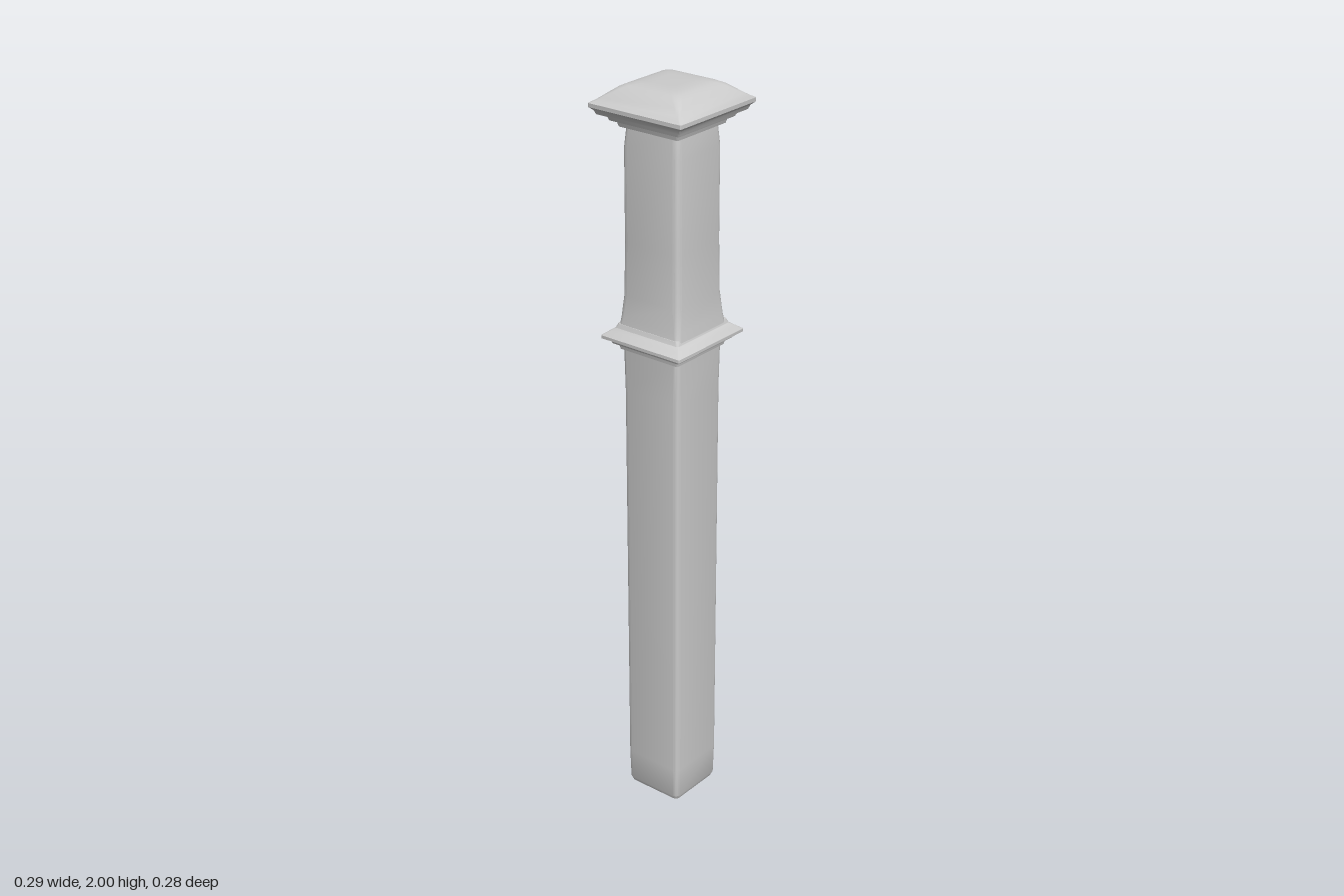
import * as THREE from 'three';
import { toCreasedNormals } from 'three/addons/utils/BufferGeometryUtils.js';

const CORNER_STEPS = 4;

// Outline of a rounded square, counter-clockwise seen from above
function ring(half, y, radius, sx, sz) {
  const points = [];
  for (let c = 0; c < 4; c++) {
    const mid = Math.PI / 4 + c * Math.PI / 2;
    for (let s = 0; s <= CORNER_STEPS; s++) {
      const a = c * Math.PI / 2 + (s / CORNER_STEPS) * Math.PI / 2;
      const x = Math.sign(Math.cos(mid)) * (half - radius) + Math.cos(a) * radius;
      const z = Math.sign(Math.sin(mid)) * (half - radius) + Math.sin(a) * radius;
      points.push([x * sx, y, -z * sz]);
    }
  }
  return points;
}

// Square loft through a profile of [half width, height, corner radius]
function squareLoft(name, profile, material, crease = 0.5, sx = 1, sz = 1) {
  const rings = profile.map(([h, y, r]) => ring(h, y, r, sx, sz));
  const n = rings[0].length;
  const last = rings.length - 1;
  const positions = rings.flat(2);
  const index = [];
  for (let k = 0; k < last; k++) {
    for (let i = 0; i < n; i++) {
      const j = (i + 1) % n;
      const a = k * n + i, b = k * n + j, c = b + n, d = a + n;
      index.push(a, b, c, a, c, d);
    }
  }
  // Closed ends
  const bottom = rings.length * n, top = bottom + 1;
  positions.push(0, profile[0][1], 0, 0, profile[last][1], 0);
  for (let i = 0; i < n; i++) {
    const j = (i + 1) % n;
    index.push(bottom, j, i, top, last * n + i, last * n + j);
  }
  const geometry = new THREE.BufferGeometry();
  geometry.setAttribute('position', new THREE.Float32BufferAttribute(positions, 3));
  geometry.setIndex(index);
  const mesh = new THREE.Mesh(toCreasedNormals(geometry, crease), material);
  mesh.name = name;
  return mesh;
}

export function createModel() {
  const material = new THREE.MeshStandardMaterial({ color: 0xcccccc });
  const model = new THREE.Group();
  model.name = 'newelPost';

  // Long lower shaft with softened edges
  const lower = squareLoft('lowerShaft', [
    [0.080, 0, 0.012], [0.085, 0.012, 0.014], [0.087, 0.1, 0.014],
    [0.088, 1.2, 0.014], [0.090, 1.32, 0.014],
  ], material);

  // Upper shaft, slightly flared at its foot and narrowed under the cap
  const upper = squareLoft('upperShaft', [
    [0.098, 1.37, 0.012], [0.094, 1.40, 0.014], [0.089, 1.46, 0.016],
    [0.087, 1.60, 0.016], [0.087, 1.84, 0.016], [0.082, 1.90, 0.016],
  ], material);

  // Stepped collar moulding around the shaft
  const collar = squareLoft('collar', [
    [0.086, 1.308, 0.008], [0.096, 1.313, 0.006], [0.098, 1.324, 0.006],
    [0.110, 1.329, 0.005], [0.114, 1.338, 0.005], [0.130, 1.344, 0.004],
    [0.130, 1.352, 0.004], [0.116, 1.362, 0.005], [0.104, 1.371, 0.006],
    [0.100, 1.382, 0.008], [0.090, 1.388, 0.010],
  ], material, 0.5, 1, 0.97);

  // Cap moulding stepping outward below the roof
  const capMoulding = squareLoft('capMoulding', [
    [0.080, 1.888, 0.008], [0.094, 1.892, 0.006], [0.097, 1.903, 0.006],
    [0.110, 1.908, 0.005], [0.114, 1.918, 0.005], [0.132, 1.924, 0.004],
    [0.136, 1.934, 0.004], [0.145, 1.942, 0.003], [0.145, 1.952, 0.003],
  ], material, 0.5, 1, 0.98);

  // Softly domed cap top
  const capTop = squareLoft('capTop', [
    [0.145, 1.952, 0.003], [0.137, 1.957, 0.006], [0.126, 1.965, 0.010],
    [0.112, 1.977, 0.014], [0.098, 1.988, 0.018], [0.084, 1.995, 0.020],
    [0.066, 1.999, 0.020], [0.040, 2.0, 0.015],
  ], material, 1.0, 1, 0.98);

  // The shafts sit a touch off the cap's centre
  for (const shaft of [lower, upper]) shaft.position.set(-0.003, 0, 0.002);

  model.add(lower, upper, collar, capMoulding, capTop);
  return model;
}
